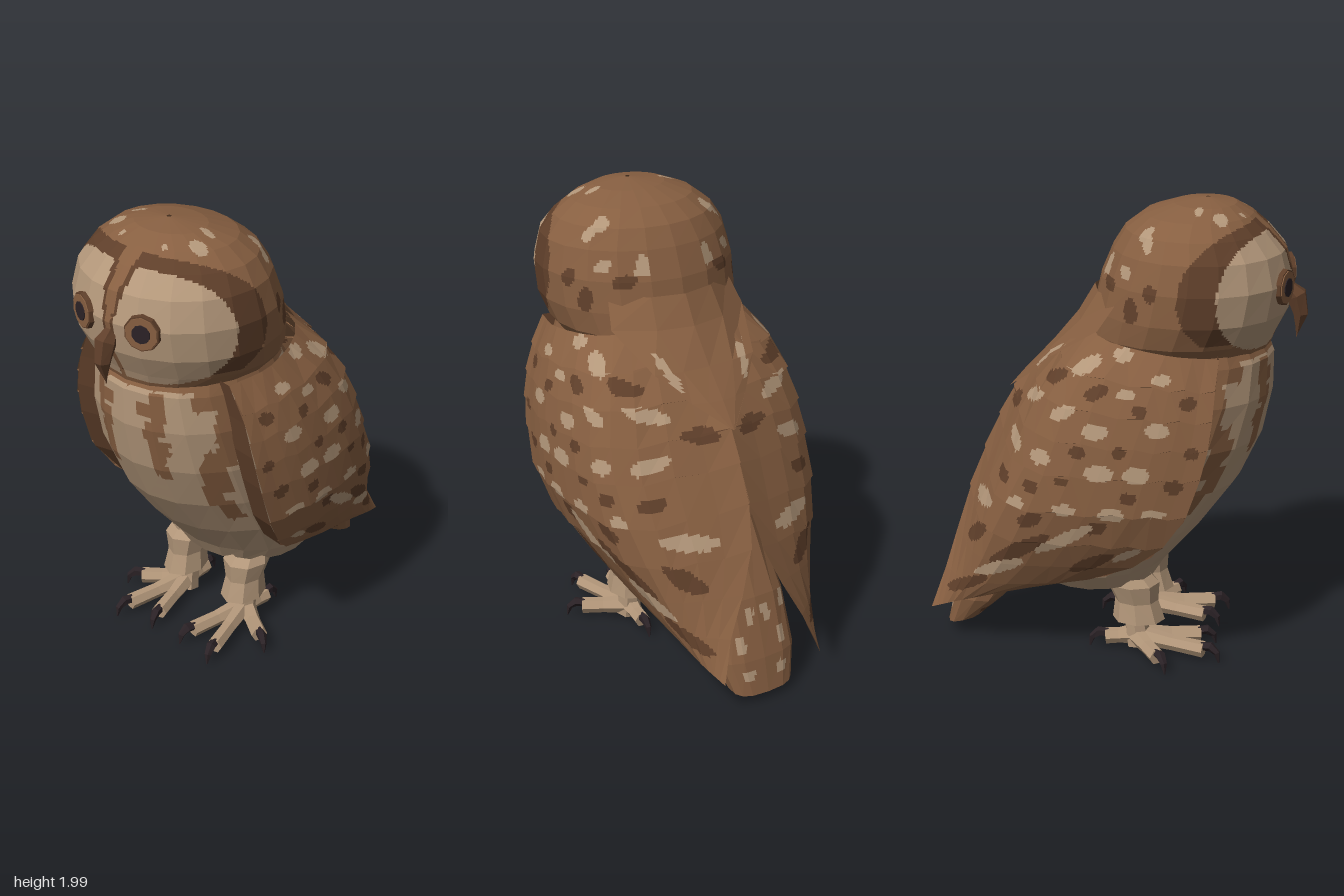
import * as THREE from 'three';

const V = (x, y, z) => new THREE.Vector3(x, y, z);
const mat = (name, color) => Object.assign(
  new THREE.MeshStandardMaterial({ color, flatShading: true, side: THREE.DoubleSide }), { name });
const MATS = [mat('brown', 0x875f41), mat('darkBrown', 0x5f3f2a), mat('cream', 0xb3977a), mat('black', 0x2b2226)];
const BROWN = 0, DARK = 1, CREAM = 2, BLACK = 3;

// Faceted skin through rows of points; each tall facet is split into n cells a side so paint(p) can colour it finely.
function loft(name, rows, paint, n = 1, side = 1) {
  const bins = MATS.map(() => []);
  const tri = (bin, a, b, c) => {
    for (const v of side > 0 ? [a, b, c] : [a, c, b]) bin.push(v.x * side, v.y, v.z);
  };
  const facet = (a, b, c, m) => {
    const at = (i, j) => a.clone().addScaledVector(b.clone().sub(a), i / m).addScaledVector(c.clone().sub(a), j / m);
    for (let i = 0; i < m; i++) for (let j = 0; j < m - i; j++) {
      const whole = i + j < m - 1, mid = whole ? .5 : .33;
      const bin = bins[typeof paint === 'function' ? paint(at(i + mid, j + mid)) : paint];
      tri(bin, at(i, j), at(i + 1, j), at(i, j + 1));
      if (whole) tri(bin, at(i + 1, j), at(i + 1, j + 1), at(i, j + 1));
    }
  };
  for (let i = 0; i < rows.length - 1; i++) for (let j = 0; j < rows[i].length - 1; j++) {
    const a = rows[i][j], b = rows[i][j + 1], c = rows[i + 1][j + 1], d = rows[i + 1][j];
    const m = a.distanceTo(d) < .035 ? 1 : n;
    facet(b, c, a, m); facet(d, a, c, m);
  }
  const geo = new THREE.BufferGeometry();
  let start = 0;
  bins.forEach((bin, k) => {
    if (bin.length) geo.addGroup(start, bin.length / 3, k);
    start += bin.length / 3;
  });
  geo.setAttribute('position', new THREE.Float32BufferAttribute(bins.flat(), 3));
  geo.computeVertexNormals();
  const single = typeof paint !== 'function';
  if (single) geo.clearGroups();
  const mesh = new THREE.Mesh(geo, single ? MATS[paint] : MATS);
  mesh.name = name;
  return mesh;
}

// Horizontal ring: half width, front z, back z; a power under 1 squares it off
const ring = ([y, rx, zf, zb], sides = 20, xc = 0, power = 1) => Array.from({ length: sides + 1 }, (_, j) => {
  const a = j / sides * Math.PI * 2, bend = t => Math.sign(t) * Math.abs(t) ** power;
  return V(xc + rx * bend(Math.sin(a)), y, (zf + zb) / 2 + (zf - zb) / 2 * bend(Math.cos(a)));
});

// Tapering limb along a path
function taper(name, path, radii, paint, sides = 6, side = 1) {
  const rows = path.map((p, i) => {
    const d = path[Math.min(i + 1, path.length - 1)].clone().sub(path[Math.max(i - 1, 0)]).normalize();
    const u = V(0, 1, 0).cross(d);
    if (u.length() < 0.05) u.set(1, 0, 0);
    u.normalize();
    const v = d.clone().cross(u);
    return Array.from({ length: sides + 1 }, (_, j) => {
      const a = j / sides * Math.PI * 2;
      return p.clone().addScaledVector(u, radii[i] * Math.cos(a)).addScaledVector(v, radii[i] * Math.sin(a));
    });
  });
  rows.push(rows.at(-1).map(() => path.at(-1).clone()));
  return loft(name, rows, paint, 1, side);
}

// Rotated ellipses [u, v, ru, rv, angle]
const hit = (list, u, v) => list.some(([cu, cv, ru, rv, a = 0]) => {
  const du = u - cu, dv = v - cv, c = Math.cos(a), s = Math.sin(a);
  return ((du * c + dv * s) / ru) ** 2 + ((dv * c - du * s) / rv) ** 2 < 1;
});

// Head markings: pale facial discs, dark rims, flecks
const CROWN = [[.16, -.03, .035, .035], [.25, .15, .03, .03], [.18, .35, .035, .017], [.21, .44, .04, .03], [.11, .52, .014, .014]];
const NAPE_PALE = [[.16, 1.86, .022, .035], [.07, 1.74, .022, .03], [-.07, 1.55, .02, .04]];
const NAPE_DARK = [[.18, 1.68, .03, .035], [.1, 1.6, .03, .05], [.0, 1.68, .025, .03]];
function paintHead({ x, y, z }) {
  x = Math.abs(x);
  const dz = Math.min(0, z - .62);
  const gap = .015 + Math.max(0, y - 1.6) * .16;
  const disc = (dz / .175) ** 2 + ((y - 1.65) / .235) ** 2 < 1;
  if (disc && x > gap) return CREAM;
  if (disc) return x > gap * .55 ? DARK : BROWN;
  if ((dz / .33) ** 2 + ((y - 1.66) / .27) ** 2 < 1 && y > 1.47 && x > .04) return DARK;
  if (y > 1.7 && hit(CROWN, x, z)) return CREAM;
  if (z < .27 && hit(NAPE_PALE, z, y)) return CREAM;
  return z < .27 && x > .15 && hit(NAPE_DARK, z, y) ? DARK : BROWN;
}

// Breast streaks as [x, y, half width, half height]
const STREAKS = [[.15, 1.27, .028, .1], [.11, 1.29, .05, .03], [.12, 1.2, .03, .05], [.14, 1.12, .045, .035], [.13, 1.03, .03, .07],
  [.31, 1.34, .045, .05], [.36, 1.2, .03, .13], [.33, 1.07, .04, .04], [.31, .97, .035, .09], [.28, .86, .025, .06], [.3, .76, .025, .07]];
function paintBody({ x, y, z }) {
  if (z < 0 && y > .5) return BROWN;
  if (y > 1.375) return BROWN;
  return z > .2 && STREAKS.some(([sx, sy, w, h]) => Math.abs(Math.abs(x) - sx) < w && Math.abs(y - sy) < h) ? BROWN : CREAM;
}

// Wing flecks, placed by z and y
const PALE = [[.08, 1.43, .04, .025], [.24, 1.35, .04, .02], [-.07, 1.38, .07, .025, .5], [.23, 1.155, .05, .03], [-.02, 1.14, .055, .03],
  [-.16, 1.2, .06, .025, .5], [.15, .97, .055, .035], [0, .97, .06, .035], [-.25, 1.01, .045, .03], [-.38, 1.03, .03, .04, .6],
  [.22, .8, .05, .02], [.05, .79, .055, .03], [-.15, .8, .05, .025], [-.16, .65, .15, .028, .55], [-.54, .73, .06, .03, .4],
  [-.46, .46, .13, .028, .45], [.1, .58, .07, .02, .5], [-.3, 1.22, .06, .018, .6], [-.36, .8, .04, .025], [.1, 1.29, .04, .02]];
const SPECKS = [[.35, 1.26, .035, .025], [.16, 1.23, .03, .025], [-.02, 1.29, .05, .025, .4], [.37, 1.06, .03, .025], [.3, .92, .04, .03],
  [.08, 1.06, .03, .025], [-.09, 1.05, .035, .025], [-.29, .88, .035, .03], [-.16, .92, .03, .02], [-.43, .88, .03, .03],
  [.12, .87, .035, .025], [-.02, .72, .05, .03, .4], [-.3, .73, .06, .03, .4], [-.36, .57, .17, .035, .6], [-.05, .53, .11, .03, .5],
  [-.57, .58, .08, .025, .8], [-.62, .34, .12, .025, .5], [-.2, 1.32, .06, .02, .5], [-.42, 1.13, .04, .02, .8]];
const paintWing = ({ y, z }) => hit(PALE, z, y) ? CREAM : hit(SPECKS, z, y) ? DARK : BROWN;

// Wing sections from top to tip: leading edge, side, rear, inner edge
const WING = [
  [[.38, 1.42, .46], [.42, 1.44, .25], [.31, 1.48, -.04], [0, 1.55, -.09]],
  [[.45, 1.27, .45], [.495, 1.29, .2], [.4, 1.33, -.18], [0, 1.37, -.26]],
  [[.485, 1.12, .44], [.53, 1.13, .16], [.45, 1.16, -.25], [0, 1.2, -.42]],
  [[.5, .97, .41], [.545, .97, .11], [.47, .98, -.31], [0, 1.04, -.51]],
  [[.5, .76, .34], [.54, .77, .05], [.45, .76, -.41], [0, .84, -.6]],
  [[.445, .57, .2], [.465, .57, -.08], [.39, .56, -.5], [.05, .61, -.68]],
  [[.37, .44, 0], [.385, .42, -.2], [.335, .39, -.58], [.16, .4, -.73]],
  [[.33, .34, -.38], [.31, .29, -.52], [.28, .23, -.69], [.24, .18, -.8]],
].map(row => row.map(p => V(...p)));
const COLUMNS = [0, 1, 2, 3].map(k => new THREE.CatmullRomCurve3(WING.map(r => r[k])));

function wing(side) {
  const g = new THREE.Group();
  g.name = side > 0 ? 'leftWing' : 'rightWing';
  const tiers = 9, rows = [];
  const section = t => new THREE.CatmullRomCurve3(COLUMNS.map(c => c.getPoint(t))).getPoints(12);
  // overlapping feather tiers with slightly jagged lower edges, smooth toward the tip
  for (let k = 0; k < tiers; k++) {
    rows.push(section(k / tiers));
    if (k < 6) rows.push(section((k + 1) / tiers).map((p, j) => {
      p.x *= 1.015;
      p.z -= j > 3 ? .006 : 0;
      p.y += j % 2 ? -.01 : .004;
      return p;
    }));
  }
  rows.push(section(1));
  g.add(loft('wingFeathers', rows.reverse(), paintWing, 11, side));
  // broad dark leading edge folded toward the breast
  const edge = WING.map(r => {
    const f = r[0];
    return [V(f.x - .11, f.y, f.z - .02), f.clone()];
  }).reverse();
  g.add(loft('wingLeadingEdge', edge, DARK, 1, side));
  return g;
}

function leg(side) {
  const g = new THREE.Group();
  g.name = side > 0 ? 'leftLeg' : 'rightLeg';
  const shin = [[.12, .045, .15, .06], [.155, .05, .16, .05], [.16, .09, .23, 0], [.25, .078, .2, .01], [.335, .1, .205, -.03], [.37, .085, .17, -.03]];
  g.add(loft('featheredShin', shin.map(r => ring(r, 8, .17)), CREAM, 1, side));
  g.add(taper('ankle', [V(.17, .16, .1), V(.17, .09, .11), V(.17, .04, .12)], [.05, .055, .06], CREAM, 7, side));
  for (const [x, z] of [[.25, .41], [.1, .38], [.35, .22], [.18, -.03]]) {
    const d = V(x - .17, 0, z - .1).normalize();
    const tip = V(x, .065, z), at = (f, y) => V(x, y, z).addScaledVector(d, f);
    g.add(taper('toe', [V(.17, .08, .1), V(.17, .075, .1).lerp(tip, .55), tip], [.045, .034, .036], CREAM, 6, side));
    g.add(taper('claw', [at(-.01, .08), at(.03, .085), at(.06, .06), at(.07, .015)], [.02, .022, .015, .003], BLACK, 5, side));
  }
  return g;
}

function eye(side) {
  const g = new THREE.Group();
  g.name = side > 0 ? 'leftEye' : 'rightEye';
  [['eyeRim', .076, DARK, 0], ['iris', .07, BROWN, .004], ['pupil', .04, BLACK, .008]].forEach(([name, r, m, out]) => {
    const disc = new THREE.Mesh(new THREE.CylinderGeometry(r * .97, r, .02, 10).rotateX(Math.PI / 2), MATS[m]);
    disc.name = name;
    disc.position.z = out;
    g.add(disc);
  });
  g.position.set(.155 * side, 1.67, .702);
  g.rotation.y = .34 * side;
  return g;
}

export function createModel() {
  const owl = new THREE.Group();
  owl.name = 'owl';

  const body = [[.31, .01, .06, .04], [.315, .2, .13, -.25], [.34, .3, .18, -.36], [.42, .36, .23, -.45], [.6, .41, .385, -.5], [.8, .43, .53, -.47],
    [1, .44, .62, -.38], [1.2, .425, .66, -.24], [1.36, .385, .66, -.13], [1.44, .36, .62, -.08]];
  owl.add(loft('body', body.map(r => ring(r)), paintBody, 8));

  const head = [[1.36, .33, .63, -.1], [1.45, .4, .665, -.12], [1.55, .432, .715, -.1], [1.68, .435, .735, -.07], [1.8, .405, .7, -.02],
    [1.88, .35, .63, .03], [1.94, .27, .56, .11], [1.98, .16, .49, .23], [2, .01, .38, .36]];
  owl.add(loft('head', head.map(r => ring(r)), paintHead, 10));

  owl.add(taper('beak', [V(0, 1.65, .7), V(0, 1.6, .745), V(0, 1.52, .765), V(0, 1.42, .75)], [.02, .046, .034, .003], DARK, 6));

  // Pointed cape of nape feathers: [y, half width, middle z, side z]
  const cape = [[1.15, .004, -.475, -.475], [1.25, .13, -.39, -.36], [1.36, .24, -.285, -.25], [1.5, .32, -.17, -.04], [1.62, .29, -.1, .04]];
  owl.add(loft('napeCape', cape.map(([y, w, zm, zs]) => [1, .5, 0, -.5, -1].map(k => V(w * k, y, zm + (zs - zm) * k * k))),
    ({ x, y }) => hit([[.18, 1.36, .02, .08, -.4]], Math.abs(x), y) ? CREAM : BROWN, 8));

  // Tail: squared fan, [back y, back z, front y, front z, half width]
  const tail = [[.05, -.77, .1, -.6, .01], [.05, -.77, .1, -.6, .15], [.2, -.735, .19, -.5, .19], [.45, -.65, .33, -.38, .19], [.75, -.5, .5, -.2, .15]]
    .map(([yb, zb, yf, zf, w]) => ring([0, w, zf, zb], 16, 0, .7).map(p => {
      p.y = THREE.MathUtils.lerp(yb, yf, (p.z - zb) / (zf - zb));
      return p;
    }));
  const tailSpots = [[.08, .14, .03, .025], [.1, .27, .025, .03], [.04, .38, .025, .03], [.14, .4, .02, .03]];
  owl.add(loft('tail', tail, ({ x, y, z }) => {
    x = Math.abs(x);
    if (z > -.6 + Math.max(0, y - .2) * .55) return y < .15 ? DARK : x < .1 ? CREAM : BROWN;
    return hit(tailSpots, x, y) ? CREAM : BROWN;
  }, 7));

  for (const side of [1, -1]) owl.add(wing(side), leg(side), eye(side));
  return owl;
}
